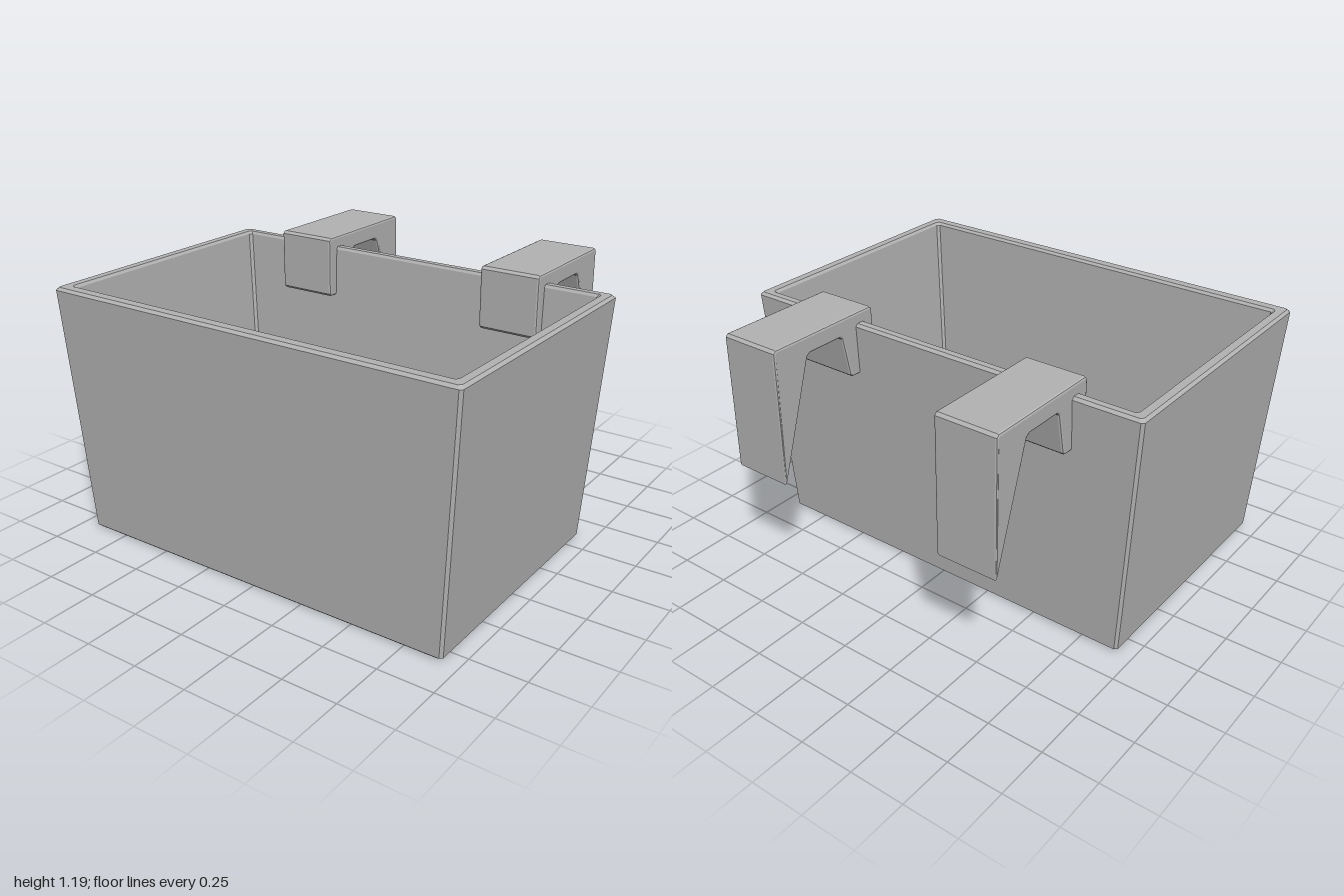
import * as THREE from 'three';

const grey = new THREE.MeshStandardMaterial({ color: 0xb3b3b3 });
grey.name = 'grey plastic';

// Rectangle with clipped corners at height y, counter-clockwise from above
function ring(y, hx, zBack, zFront, c) {
  return [
    [hx, zFront - c], [hx, zBack + c], [hx - c, zBack], [-hx + c, zBack],
    [-hx, zBack + c], [-hx, zFront - c], [-hx + c, zFront], [hx - c, zFront],
  ].map(([x, z]) => [x, y, z]);
}

// Skin through stacked rings, closed by a cap at both ends
function loft(rings) {
  const n = rings[0].length;
  const index = [];
  for (let r = 0; r < rings.length - 1; r++) {
    for (let i = 0; i < n; i++) {
      const j = (i + 1) % n;
      const a = r * n + i, b = r * n + j, c = b + n, d = a + n;
      index.push(a, b, c, a, c, d);
    }
  }
  const last = (rings.length - 1) * n;
  for (let i = 1; i < n - 1; i++) {
    index.push(0, i + 1, i);
    index.push(last, last + i, last + i + 1);
  }
  const geo = new THREE.BufferGeometry();
  geo.setAttribute('position', new THREE.Float32BufferAttribute(rings.flat(2), 3));
  geo.setIndex(index);
  const flat = geo.toNonIndexed();
  flat.computeVertexNormals();
  return flat;
}

// Side profile of the hook in (z, y); the third value clips the corner
function hookShape() {
  const corners = [
    [-0.295, 1.19, 0.012], [-0.87, 1.19, 0.012], [-0.87, 0.57, 0],
    [-0.685, 1.11, 0.012], [-0.485, 1.11, 0.012], [-0.445, 0.905, 0.012],
    [-0.295, 0.905, 0.012],
  ];
  const points = [];
  corners.forEach(([z, y, c], i) => {
    const p = new THREE.Vector2(z, y);
    if (!c) return points.push(p);
    for (const k of [i + corners.length - 1, i + 1]) {
      const q = corners[k % corners.length];
      const dir = new THREE.Vector2(q[0], q[1]).sub(p).normalize();
      points.push(p.clone().addScaledVector(dir, c));
    }
  });
  return new THREE.Shape(points);
}

export function createModel() {
  const model = new THREE.Group();
  model.name = 'hangingBin';

  // Tapered open bin: outside up, over the rim, inside down to the floor
  const b = 0.012;
  const bin = new THREE.Mesh(loft([
    ring(0, 0.926 - b, -0.355 + b, 0.826 - b, b),
    ring(b, 0.927, -0.356, 0.827, b),
    ring(1.14 - b, 0.999, -0.4, 0.869, b),
    ring(1.14, 0.999 - b, -0.4 + b, 0.869 - b, b),
    ring(1.14, 0.945 + b / 2, -0.352 - b / 2, 0.81 + b / 2, b),
    ring(1.14 - b, 0.942, -0.35, 0.806, b),
    ring(0.06 + b, 0.878, -0.31, 0.77, b),
    ring(0.06, 0.878 - b, -0.31 + b, 0.77 - b, b),
  ]), grey);
  bin.name = 'bin';
  model.add(bin);

  // Two hooks clamped over the back wall
  const width = 0.284, bevel = 0.01;
  const hookGeo = new THREE.ExtrudeGeometry(hookShape(), {
    depth: width - 2 * bevel, bevelEnabled: true, bevelThickness: bevel,
    bevelSize: bevel, bevelOffset: -bevel, bevelSegments: 2,
  });
  hookGeo.translate(0, 0, -width / 2 + bevel);
  hookGeo.rotateY(-Math.PI / 2); // profile x becomes z
  for (const side of [-1, 1]) {
    const hook = new THREE.Mesh(hookGeo, grey);
    hook.name = side > 0 ? 'leftHook' : 'rightHook';
    hook.position.x = side * 0.549;
    model.add(hook);
  }
  return model;
}
